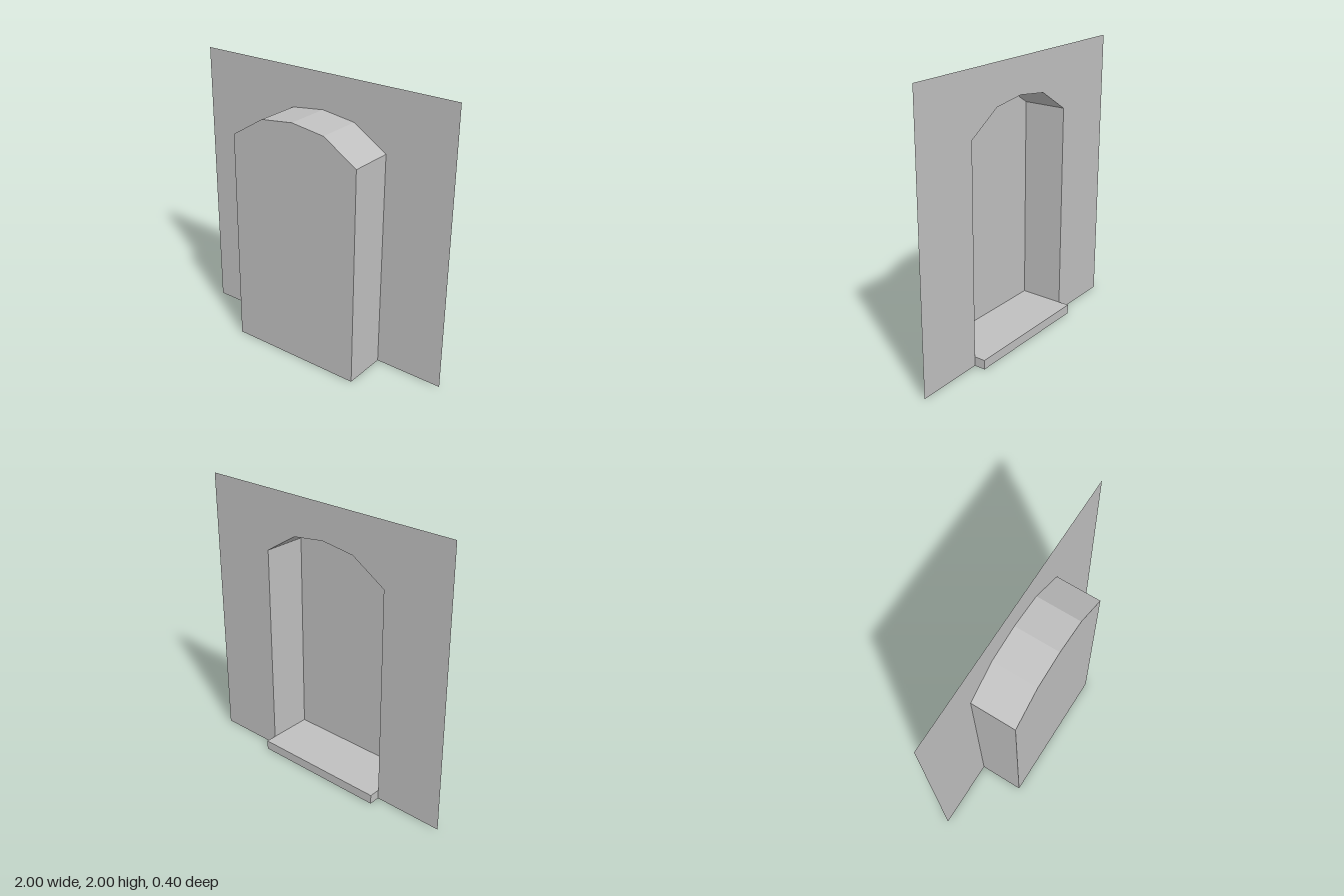
import * as THREE from 'three';

const WALL_Z = -0.12, NICHE_Z = 0.2, SILL_Z = -0.2, SILL_H = 0.067;
// niche outline, from the foot of one side over the arch to the other
const arch = [[0.5, 1.56], [0.25, 1.716], [0, 1.748], [-0.25, 1.716], [-0.5, 1.56]];
const outline = (bottom) =>
  [[0.5, bottom], ...arch, [-0.5, bottom]].map(([x, y]) => new THREE.Vector2(x, y));

// open strip joining the wall opening to the niche's far panel, flat per facet
function stripGeometry(points, z0, z1) {
  const pos = [];
  for (let i = 0; i < points.length - 1; i++) {
    const a = points[i], b = points[i + 1];
    pos.push(a.x, a.y, z0, b.x, b.y, z0, b.x, b.y, z1);
    pos.push(a.x, a.y, z0, b.x, b.y, z1, a.x, a.y, z1);
  }
  const g = new THREE.BufferGeometry();
  g.setAttribute('position', new THREE.Float32BufferAttribute(pos, 3));
  // the outside of the niche is the front of each facet
  for (let i = 0; i < pos.length; i += 9) {
    for (let k = 0; k < 3; k++) [pos[i + 3 + k], pos[i + 6 + k]] = [pos[i + 6 + k], pos[i + 3 + k]];
  }
  g.setAttribute('position', new THREE.Float32BufferAttribute(pos, 3));
  g.computeVertexNormals();
  return g;
}

export function createModel() {
  const group = new THREE.Group();
  const stone = new THREE.MeshStandardMaterial({ color: 0xbfbfbf, side: THREE.DoubleSide });
  stone.name = 'grey stone';
  const add = (name, geometry, z = 0, turned = false) => {
    const mesh = new THREE.Mesh(geometry, stone);
    mesh.name = name;
    mesh.position.z = z;
    if (turned) mesh.rotation.y = Math.PI;
    group.add(mesh);
    return mesh;
  };

  // thin wall cut away around the niche, facing the open side
  const wall = new THREE.Shape([
    new THREE.Vector2(-1, 0), new THREE.Vector2(-1, 2),
    new THREE.Vector2(1, 2), new THREE.Vector2(1, 0), ...outline(0),
  ]);
  add('wall', new THREE.ShapeGeometry(wall), WALL_Z, true);

  // arched recess: closing panel, sides and vault
  const niche = outline(SILL_H);
  add('nichePanel', new THREE.ShapeGeometry(new THREE.Shape(niche)), NICHE_Z);
  add('nicheSides', stripGeometry(niche, WALL_Z, NICHE_Z));

  // sill forming the floor and projecting past the wall
  const sill = add('sill', new THREE.BoxGeometry(1, SILL_H, NICHE_Z - SILL_Z));
  sill.position.set(0, SILL_H / 2, (NICHE_Z + SILL_Z) / 2);

  return group;
}
